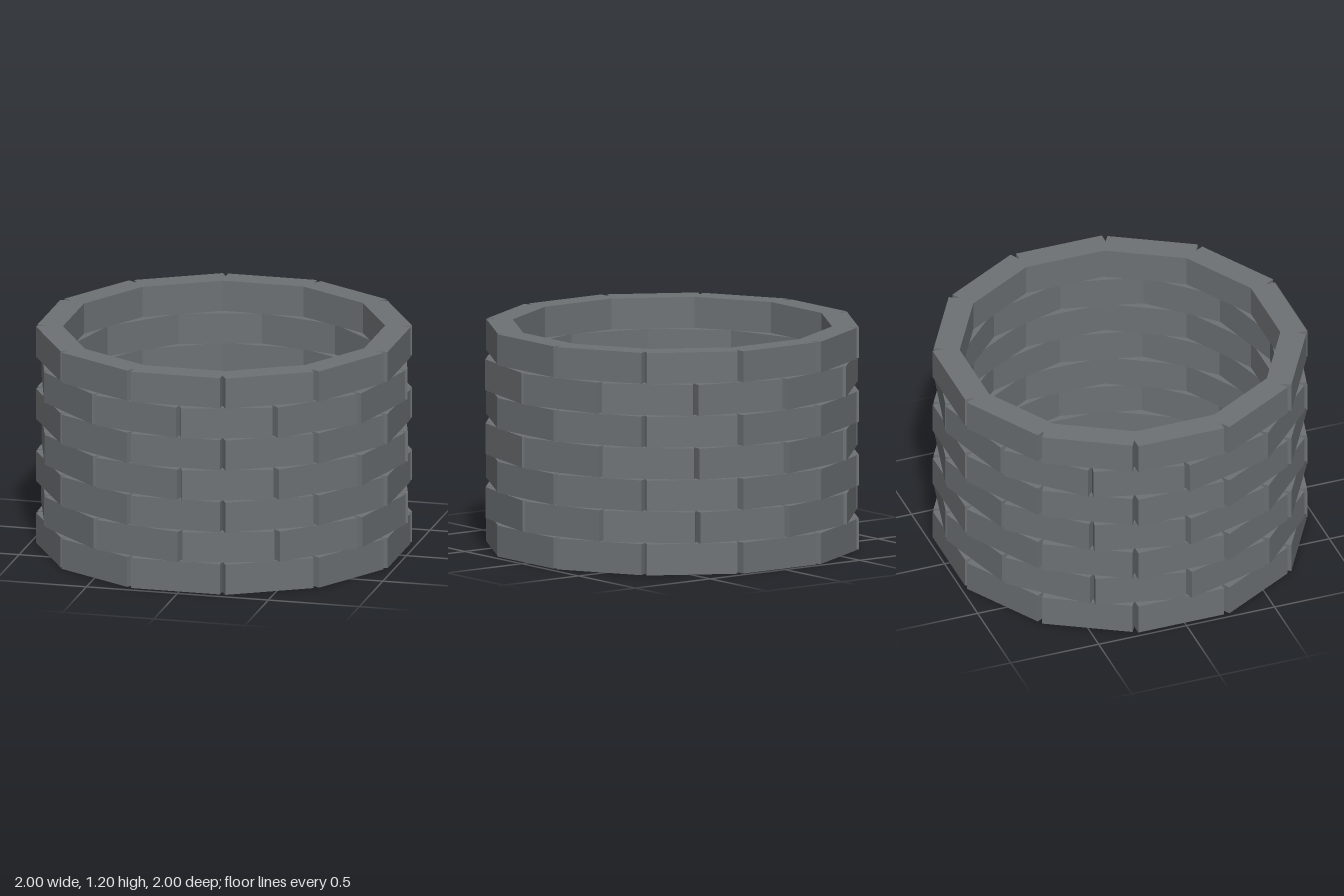
import * as THREE from 'three';

const COURSES = 7, BRICKS = 12;
const PITCH = 0.172, HEIGHT = 0.167;
const INNER = 0.828, OUTER = 0.967;
const START = -0.26, END = 0.228; // brick ends along the tangent

export function createModel() {
  const group = new THREE.Group();
  group.name = 'brickRing';
  const stone = new THREE.MeshStandardMaterial({ color: 0x6d7174 });
  stone.name = 'grey stone';

  // One brick, placed off the ring's axis so that turning it lays a course
  const brick = new THREE.BoxGeometry(END - START, HEIGHT, OUTER - INNER);
  brick.translate((START + END) / 2, HEIGHT / 2, (INNER + OUTER) / 2);

  // Stacked courses, every second one turned by half a brick
  for (let row = 0; row < COURSES; row++) {
    const course = new THREE.Group();
    course.name = `course${row + 1}`;
    const staggered = row % 2 === 1;
    const shift = staggered ? 0 : -0.004;
    course.position.set(shift, row * PITCH, shift);
    const turn = staggered ? 15 + 1.9 - row * 0.15 : 0;
    course.rotation.y = THREE.MathUtils.degToRad(turn);
    for (let i = 0; i < BRICKS; i++) {
      const mesh = new THREE.Mesh(brick, stone);
      mesh.name = `brick${i + 1}`;
      mesh.rotation.y = (i / BRICKS) * Math.PI * 2;
      course.add(mesh);
    }
    group.add(course);
  }
  return group;
}
